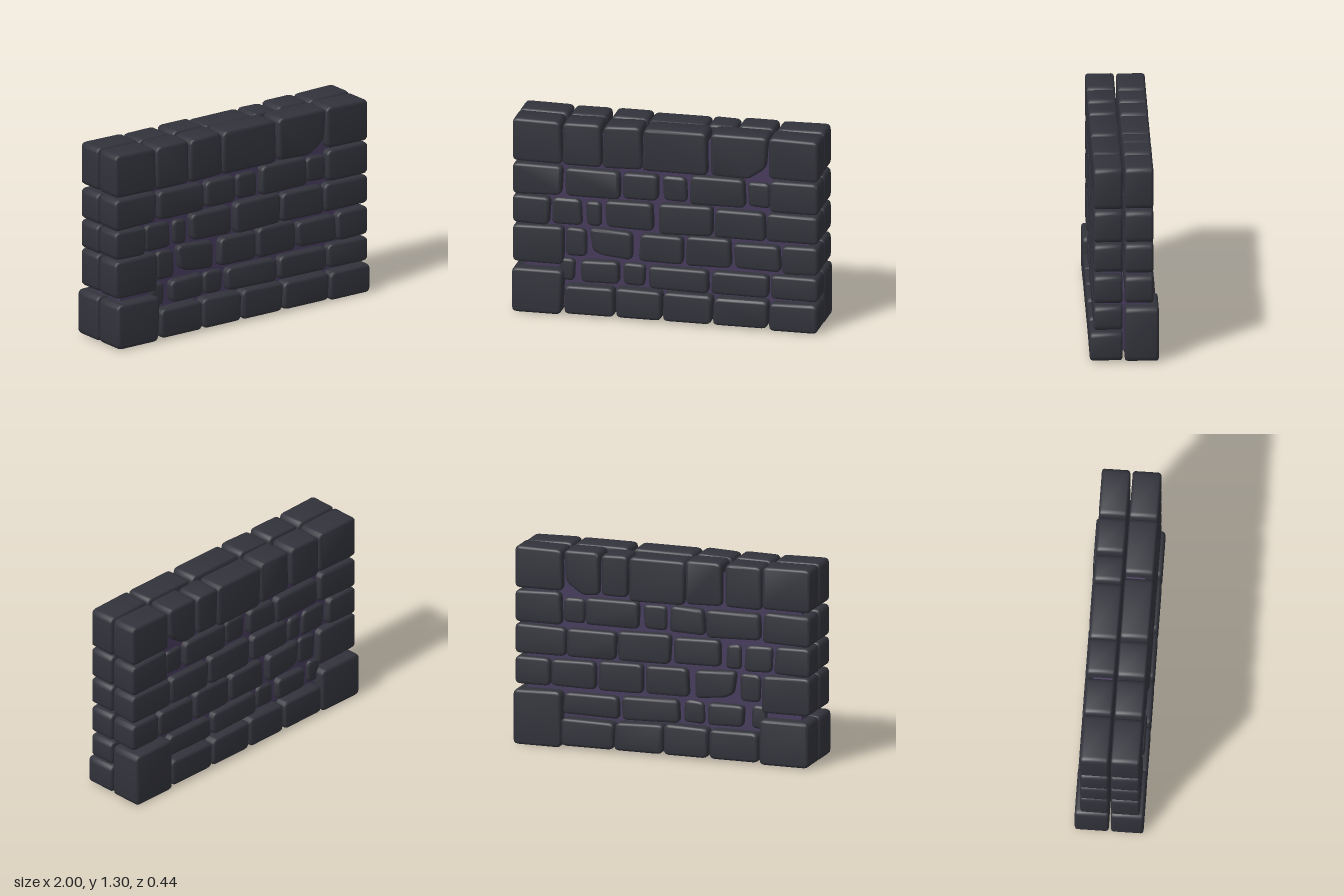
import * as THREE from 'three';
import { toCreasedNormals } from 'three/addons/utils/BufferGeometryUtils.js';

const stone = new THREE.MeshStandardMaterial({ color: 0x32333b });
stone.name = 'dark stone';
const mortar = new THREE.MeshStandardMaterial({ color: 0x463a5c });
mortar.name = 'purple mortar';

// Small seeded generator for uneven stone corners
let seed = 7;
const jitter = (a) => {
  seed = (seed * 16807) % 2147483647;
  return (seed / 2147483647 - 0.5) * 2 * a;
};

// Rounded stone: polygon outline (counter-clockwise) between two depths
function stoneGeometry(points, z0, z1, round = 0.035) {
  const p = points.map(([x, y]) => new THREE.Vector2(x, y));
  const shape = new THREE.Shape();
  p.forEach((c, i) => {
    const a = p[(i + p.length - 1) % p.length], b = p[(i + 1) % p.length];
    const toward = (q) => c.clone().add(q.clone().sub(c).setLength(Math.min(round, c.distanceTo(q) * 0.3)));
    const s = toward(a), e = toward(b);
    if (i === 0) shape.moveTo(s.x, s.y); else shape.lineTo(s.x, s.y);
    shape.quadraticCurveTo(c.x, c.y, e.x, e.y);
  });
  shape.closePath();
  const bevel = 0.018;
  const g = new THREE.ExtrudeGeometry(shape, {
    depth: z1 - z0 - 2 * bevel, curveSegments: 3,
    bevelEnabled: true, bevelThickness: bevel, bevelSize: bevel, bevelOffset: -bevel, bevelSegments: 3,
  });
  g.translate(0, 0, z0 + bevel);
  return toCreasedNormals(g, 0.9);
}

// Stones as [left, right, bottom, top], shared by both faces of the wall
const courses = [
  [[-1, -0.67, 0.01, 0.31], [-0.66, -0.33, 0.02, 0.21], [-0.32, -0.025, 0.02, 0.215],
    [-0.015, 0.31, 0.02, 0.21], [0.32, 0.67, 0.02, 0.2]],
  [[-0.7, -0.6, 0.23, 0.38], [-0.55, -0.31, 0.235, 0.38], [-0.28, -0.14, 0.23, 0.38],
    [-0.11, 0.28, 0.22, 0.375], [0.3, 0.67, 0.22, 0.37]],
  [[-1, -0.67, 0.34, 0.59], [-0.66, -0.52, 0.4, 0.585], [-0.17, 0.12, 0.4, 0.59],
    [0.13, 0.43, 0.4, 0.59], [0.45, 0.75, 0.4, 0.575], [0.76, 1, 0.39, 0.58]],
  [[-1, -0.76, 0.6, 0.79], [-0.74, -0.55, 0.6, 0.775], [-0.52, -0.42, 0.61, 0.77],
    [-0.39, -0.08, 0.615, 0.79], [-0.05, 0.3, 0.6, 0.8], [0.32, 0.65, 0.6, 0.79], [0.66, 1, 0.6, 0.79]],
  [[-1, -0.68, 0.8, 1.0], [-0.66, -0.3, 0.81, 0.99], [-0.28, -0.05, 0.82, 0.99],
    [-0.02, 0.135, 0.82, 0.98], [0.16, 0.52, 0.815, 1.0], [0.53, 0.675, 0.82, 0.98], [0.69, 1, 0.805, 1.015]],
  [[-1, -0.68, 1.02, 1.305], [-0.67, -0.425, 1.015, 1.3], [-0.405, -0.155, 1.015, 1.3], [0.68, 1, 1.025, 1.3]],
];

// Stones that differ between the front (+1) and the back (-1)
const extras = {
  1: [[0, 0.68, 1, 0.01, 0.2], [1, 0.69, 1, 0.22, 0.38], [5, -0.15, 0.27, 1.01, 1.295]],
  '-1': [[0, 0.68, 1, 0.005, 0.37], [5, -0.15, 0.23, 1.0, 1.295], [5, 0.24, 0.42, 1.02, 1.29]],
};

function quad([l, r, b, t]) {
  // Outer ends stay straight; inner corners wander slightly
  const jx = (x) => (Math.abs(x) === 1 ? x : x + jitter(0.008));
  const jy = (y) => (y < 0.03 ? y : y + jitter(0.006));
  return [[jx(l), jy(b)], [jx(r), jy(b)], [jx(r), jy(t)], [jx(l), jy(t)]];
}

function buildFace(side) {
  const face = new THREE.Group();
  face.name = side > 0 ? 'frontFace' : 'backFace';
  const inner = side > 0 ? 0.012 : 0.003;
  const addStone = (name, points, depth) => {
    const z = [side * inner, side * depth].sort((a, b) => a - b);
    const mesh = new THREE.Mesh(stoneGeometry(points, z[0], z[1]), stone);
    mesh.name = name;
    face.add(mesh);
  };
  const names = ['baseStone', 'secondCourseStone', 'thirdCourseStone', 'fourthCourseStone', 'fifthCourseStone', 'topStone'];
  const place = (row, s) => {
    const small = s[1] - s[0] < 0.2 && row > 0 && row < 5;
    const depth = row === 0 ? 0.22 : (small ? 0.172 : 0.195) - (side < 0 ? 0.01 : 0);
    addStone(names[row], quad(s), depth);
  };
  courses.forEach((course, row) => course.forEach((s) => place(row, s)));
  extras[side].forEach(([row, ...s]) => place(row, s));

  // Wedge-shaped stone and the top stone with a broken corner
  addStone('wedgeStone', [[-0.48, 0.45], [-0.42, 0.42], [-0.22, 0.4], [-0.22, 0.585], [-0.5, 0.6]], 0.185);
  const l = side > 0 ? 0.295 : 0.43;
  addStone('brokenTopStone', [[l, 1.02], [0.54, 1.01], [0.655, 1.09], [0.67, 1.3], [l, 1.3]], side > 0 ? 0.195 : 0.185);

  // Mortar bed set back behind the stone faces
  const bed = new THREE.Mesh(new THREE.BoxGeometry(1.86, 1.18, 0.12), mortar);
  bed.name = 'mortarBed';
  bed.position.set(0, 0.64, side * 0.08);
  face.add(bed);
  return face;
}

export function createModel() {
  seed = 7;
  const wall = new THREE.Group();
  wall.name = 'stoneWall';
  wall.add(buildFace(1), buildFace(-1));

  // Filling between the two faces near the foot of one end
  const core = new THREE.Mesh(new THREE.BoxGeometry(0.4, 0.4, 0.06), mortar);
  core.name = 'mortarCore';
  core.position.set(0.7, 0.25, 0);
  wall.add(core);
  return wall;
}
